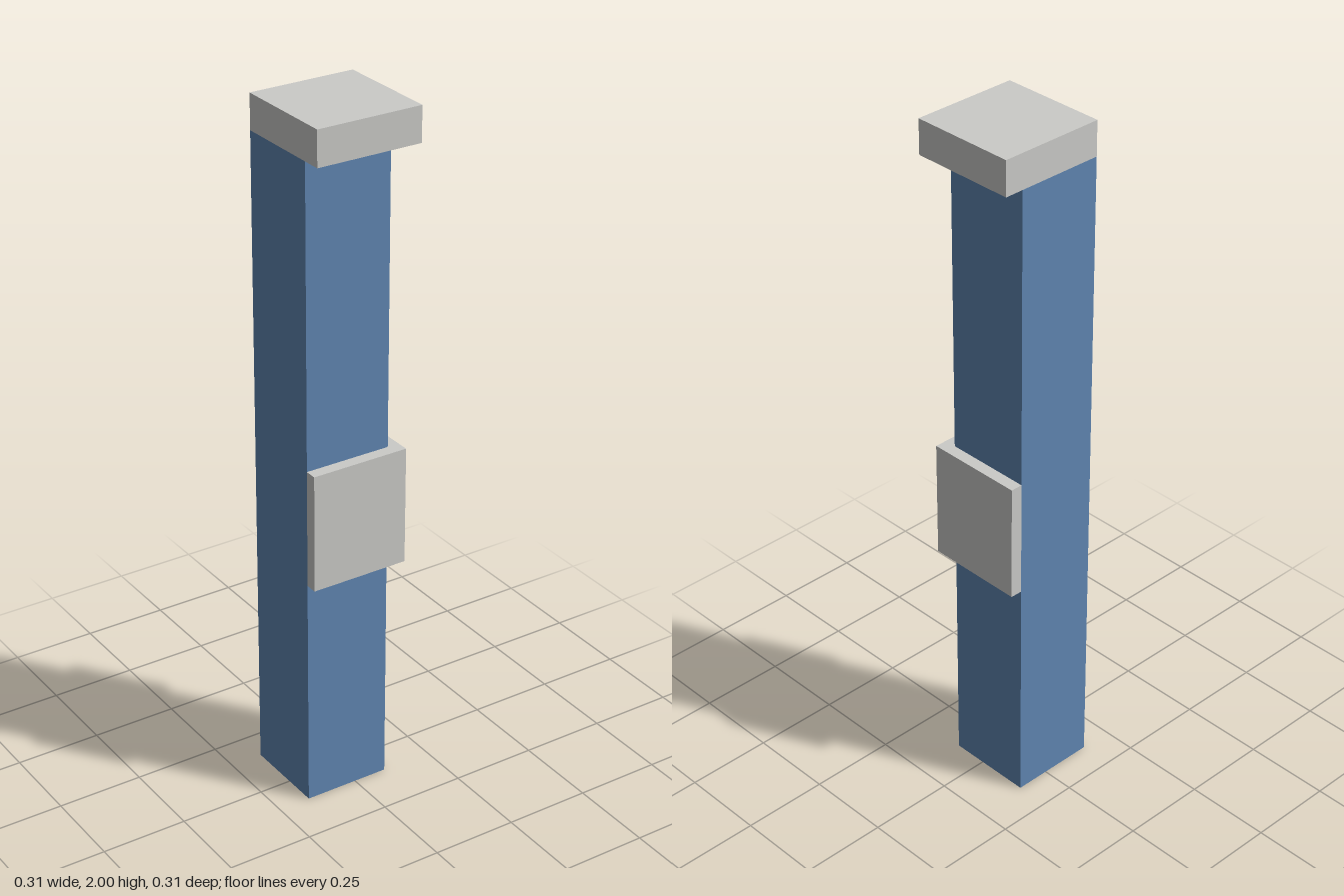
import * as THREE from 'three';

export function createModel() {
  const model = new THREE.Group();
  const blue = new THREE.MeshStandardMaterial({ name: 'blue', color: 0x6086b2 });
  const grey = new THREE.MeshStandardMaterial({ name: 'lightGrey', color: 0xcbcbc8 });

  const back = -0.155;   // shared flush corner in x and z
  const shaft = 0.1;     // outer side of the post
  const collar = 0.135;  // outer side of the collar

  // Square block growing from the flush corner
  function block(name, outer, y0, y1, material) {
    const size = outer - back;
    const mesh = new THREE.Mesh(new THREE.BoxGeometry(size, y1 - y0, size), material);
    mesh.name = name;
    mesh.position.set((back + outer) / 2, (y0 + y1) / 2, (back + outer) / 2);
    model.add(mesh);
  }
  block('post', shaft, 0, 1.9, blue);
  block('cap', 0.155, 1.9, 2, grey);

  // L-shaped collar around the two outer sides, flush with the post's back sides
  const outline = [
    [back, collar], [collar, collar], [collar, back],
    [shaft, back], [shaft, shaft], [back, shaft],
  ].map(([x, z]) => new THREE.Vector2(x, -z));
  const geometry = new THREE.ExtrudeGeometry(new THREE.Shape(outline), { depth: 0.345, bevelEnabled: false });
  geometry.rotateX(-Math.PI / 2);
  const band = new THREE.Mesh(geometry, grey);
  band.name = 'collar';
  band.position.y = 0.692;
  model.add(band);

  return model;
}
